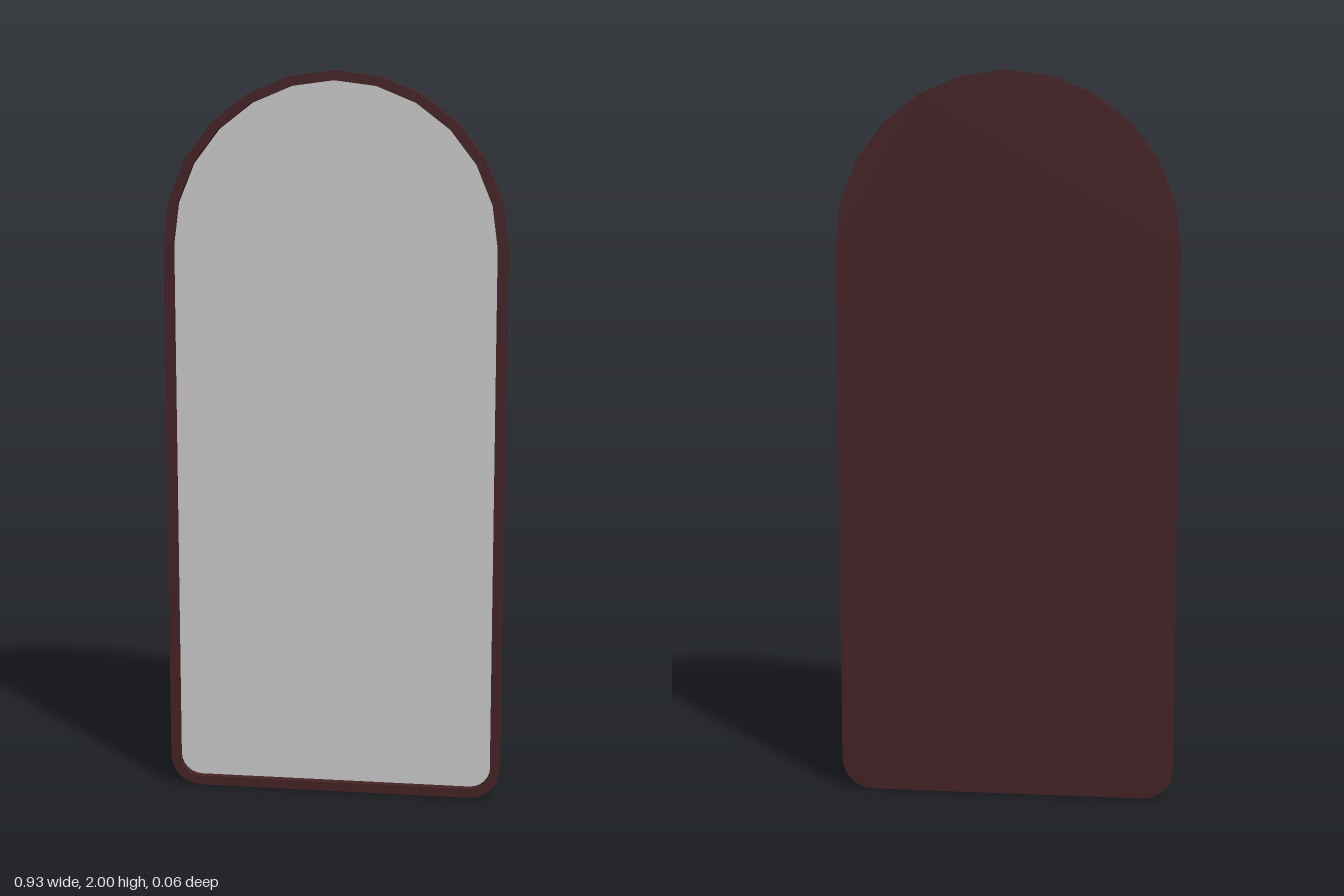
import * as THREE from 'three';

const HALF_W = 0.466, HEIGHT = 2, CORNER = 0.085, RIM = 0.026, HALF_D = 0.029;
const RECESS = 0.02; // depth of the glass behind the rim front

// Arched outline with rounded lower corners, shrunk inwards by `inset`
function archPoints(inset) {
  const pts = [];
  const arc = (cx, cy, r, from, to, steps) => {
    for (let i = 0; i <= steps; i++) {
      const a = THREE.MathUtils.degToRad(from + ((to - from) * i) / steps);
      pts.push(new THREE.Vector2(cx + r * Math.cos(a), cy + r * Math.sin(a)));
    }
  };
  const cx = HALF_W - CORNER;
  arc(0, HEIGHT - HALF_W, HALF_W - inset, 0, 180, 12);
  arc(-cx, CORNER, CORNER - inset, 180, 270, 6);
  arc(cx, CORNER, CORNER - inset, 270, 360, 6);
  return pts;
}

function slab(shape, z, depth, material, name) {
  const geometry = new THREE.ExtrudeGeometry(shape, { depth, bevelEnabled: false });
  geometry.translate(0, 0, z);
  const mesh = new THREE.Mesh(geometry, material);
  mesh.name = name;
  return mesh;
}

export function createModel() {
  const wood = new THREE.MeshStandardMaterial({ color: 0x452326 });
  wood.name = 'dark red wood';
  const silver = new THREE.MeshStandardMaterial({ color: 0xcbcbcb });
  silver.name = 'silver glass';

  const group = new THREE.Group();
  group.name = 'archedMirror';
  const glassZ = HALF_D - RECESS;

  // Solid backing behind the glass
  group.add(slab(new THREE.Shape(archPoints(0)), -HALF_D, glassZ - 0.004 + HALF_D, wood, 'backing'));

  // Raised rim around the glass
  const ring = new THREE.Shape(archPoints(0));
  ring.holes.push(new THREE.Path(archPoints(RIM)));
  group.add(slab(ring, glassZ - 0.004, RECESS + 0.004, wood, 'rim'));

  // Mirror glass, a thin plate set into the rim
  const glass = new THREE.Mesh(new THREE.ShapeGeometry(new THREE.Shape(archPoints(RIM))), silver);
  glass.position.z = glassZ;
  glass.name = 'glass';
  group.add(glass);

  return group;
}
